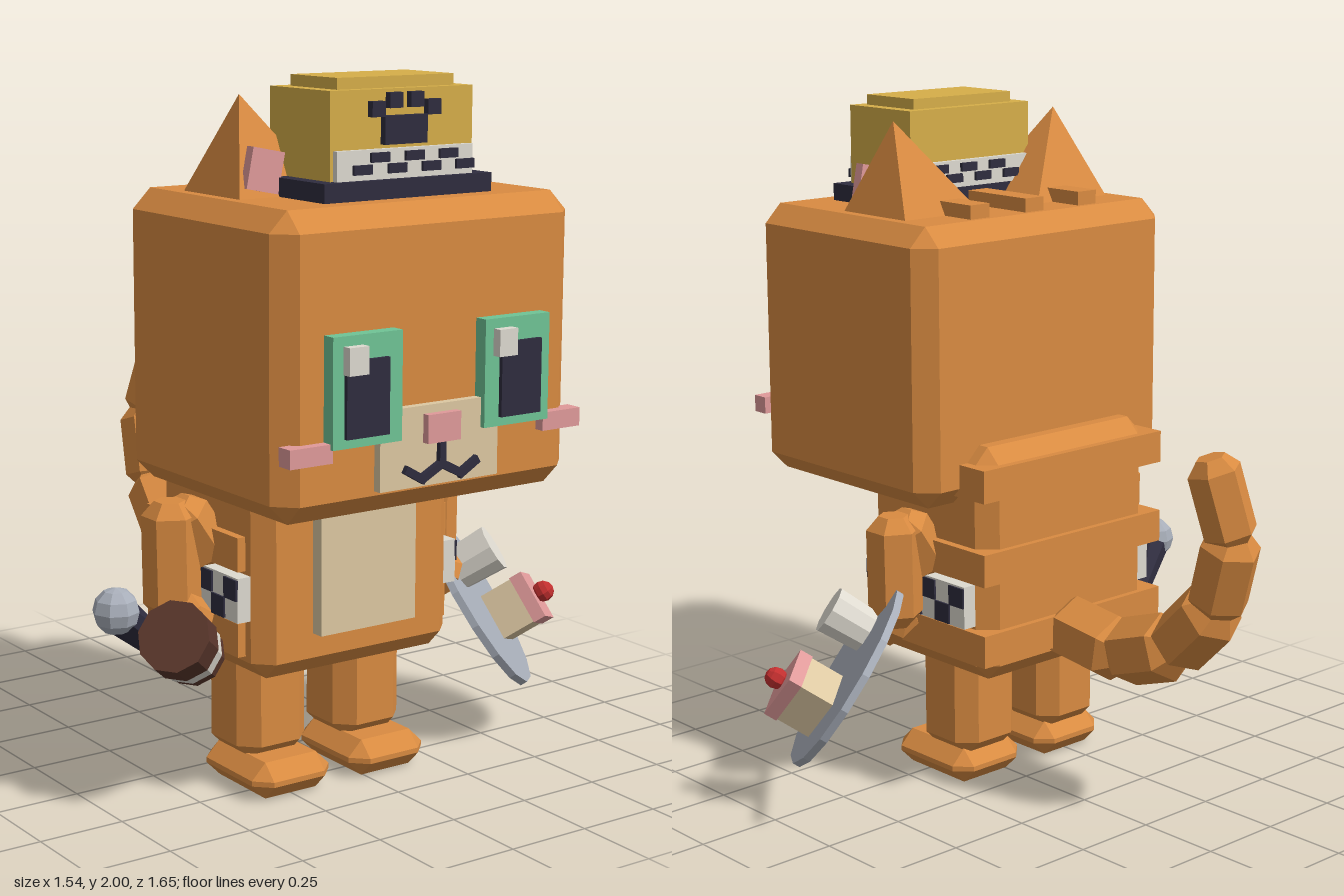
import * as THREE from 'three';
import { ConvexGeometry } from 'three/addons/geometries/ConvexGeometry.js';

const V = (x, y, z) => new THREE.Vector3(x, y, z);
const UP = V(0, 1, 0);
const MID = -0.085; // the body's own centre line

function makeMaterials() {
  const colours = {
    orangeFur: 0xd98b41, creamFur: 0xddc8a2, pink: 0xe09a9a, ink: 0x2f2d3f, green: 0x70c496,
    gold: 0xd6ae49, white: 0xdedad0, steel: 0xa8aeb9, chocolate: 0x5a372c, cherryRed: 0xc22f2f,
  };
  const mats = {};
  for (const [name, color] of Object.entries(colours)) {
    mats[name] = new THREE.MeshStandardMaterial({ color });
    mats[name].name = name;
  }
  return mats;
}

// Faceted copy of a geometry
function flat(geo) {
  const g = geo.index ? geo.toNonIndexed() : geo;
  g.computeVertexNormals();
  return g;
}

// Box with every edge cut at 45 degrees
function chamferBox(w, h, d, c) {
  const pts = [];
  for (const sx of [-1, 1]) for (const sy of [-1, 1]) for (const sz of [-1, 1]) {
    const x = w / 2, y = h / 2, z = d / 2;
    pts.push(V(sx * x, sy * (y - c), sz * (z - c)), V(sx * (x - c), sy * y, sz * (z - c)), V(sx * (x - c), sy * (y - c), sz * z));
  }
  return new ConvexGeometry(pts);
}

// Six-sided rod with tapered ends
function rodGeometry(r, len) {
  const h = len / 2, b = Math.min(r * 0.5, h * 0.6);
  const profile = [[0.0001, -h], [r * 0.55, -h], [r, -h + b], [r, h - b], [r * 0.55, h], [0.0001, h]];
  return flat(new THREE.LatheGeometry(profile.map(([x, y]) => new THREE.Vector2(x, y)), 6));
}

export function createModel() {
  const m = makeMaterials();
  const model = new THREE.Group();
  model.name = 'catWaiter';

  const add = (name, geo, mat, pos, parent = model) => {
    const mesh = new THREE.Mesh(geo, mat);
    mesh.name = name;
    mesh.position.copy(pos);
    parent.add(mesh);
    return mesh;
  };
  // Box given by its limits on each axis
  const box = (name, mat, x0, x1, y0, y1, z0, z1, c = 0) => {
    const w = x1 - x0, h = y1 - y0, d = z1 - z0;
    const geo = c ? chamferBox(w, h, d, c) : new THREE.BoxGeometry(w, h, d);
    return add(name, geo, mat, V((x0 + x1) / 2, (y0 + y1) / 2, (z0 + z1) / 2));
  };
  // Geometry standing on its y axis, laid from a to b
  const lay = (mesh, a, b) => {
    mesh.position.copy(a).add(b).multiplyScalar(0.5);
    mesh.quaternion.setFromUnitVectors(UP, b.clone().sub(a).normalize());
    return mesh;
  };
  const rod = (name, mat, a, b, r) => lay(add(name, rodGeometry(r, a.distanceTo(b)), mat, V(0, 0, 0)), a, b);
  const tube = (name, mat, a, b, r0, r1, sides) =>
    lay(add(name, flat(new THREE.CylinderGeometry(r1, r0, a.distanceTo(b), sides)), mat, V(0, 0, 0)), a, b);

  // Head and torso
  box('head', m.orangeFur, -0.565, 0.395, 0.89, 1.69, -0.015, 0.75, 0.055);
  box('torso', m.orangeFur, -0.415, 0.245, 0.37, 1.06, -0.1, 0.43, 0.05);
  box('belly', m.creamFur, -0.245, 0.075, 0.49, 0.93, 0.42, 0.47);
  for (const y of [0.435, 0.675, 0.92]) box('backStripe', m.orangeFur, -0.44, 0.27, y, y + 0.095, -0.118, 0.355);

  // Crown stripes on the head
  for (const [dx, z1] of [[-0.21, 0.2], [0, 0.3], [0.21, 0.2]])
    box('headStripe', m.orangeFur, MID + dx - 0.036, MID + dx + 0.036, 1.68, 1.73, 0.055, z1);

  // Parts mirrored about the centre line
  for (const s of [-1, 1]) {
    const side = s > 0 ? 'left' : 'right';
    const at = (d, y, z) => V(MID + s * d, y, z);
    const sideBox = (name, mat, d0, d1, y0, y1, z0, z1, c) =>
      box(side + name, mat, MID + Math.min(s * d0, s * d1), MID + Math.max(s * d0, s * d1), y0, y1, z0, z1, c);

    sideBox('Leg', m.orangeFur, 0.05, 0.28, 0.08, 0.45, 0.05, 0.28, 0.05);
    sideBox('Foot', m.orangeFur, 0.035, 0.295, 0, 0.105, 0.05, 0.375, 0.045);

    // Arm: shoulder, forearm and hand
    rod(side + 'Shoulder', m.orangeFur, at(0.31, 0.66, 0.165), at(0.43, 0.84, 0.165), 0.075);
    rod(side + 'Arm', m.orangeFur, at(0.45, 0.85, 0.165), at(0.445, 0.52, 0.165), 0.08);
    rod(side + 'Hand', m.orangeFur, at(0.44, 0.57, 0.14), at(0.43, 0.49, 0.27), 0.075);

    // Chequered hip panel
    sideBox('HipPanel', m.white, 0.32, 0.372, 0.54, 0.665, -0.05, 0.38);
    for (let i = 0; i < 7; i++) {
      const z = 0.38 - i * 0.0614, y = i % 2 ? 0.543 : 0.602;
      sideBox('HipCheck', m.ink, 0.37, 0.378, y, y + 0.058, z - 0.0614, z);
    }

    // Ear: pyramid leaning outwards
    const base = [[0.11, 0.16], [0.395, 0.16], [0.395, 0.435], [0.11, 0.435]].map(([d, z]) => at(d, 1.685, z));
    add(side + 'Ear', new ConvexGeometry([...base, at(0.312, 1.95, 0.307)]), m.orangeFur, V(0, 0, 0));
    const inner = add(side + 'InnerEar', new THREE.BoxGeometry(0.1, 0.11, 0.03), m.pink, at(0.31, 1.76, 0.415));
    inner.rotation.z = s * 0.2;

    // Eye and cheek
    sideBox('Eye', m.green, 0.135, 0.352, 1.09, 1.378, 0.74, 0.79);
    sideBox('Pupil', m.ink, 0.183, 0.317, 1.115, 1.315, 0.78, 0.802);
    const hx = s > 0 ? 0.077 : -0.405;
    box(side + 'EyeGlint', m.white, hx, hx + 0.06, 1.28, 1.352, 0.78, 0.817);
    sideBox('Cheek', m.pink, 0.345, 0.475, 1.055, 1.105, 0.73, 0.78);

    // Mouth curl
    for (const [d0, y0, d1, y1] of [[0, 1.012, 0.065, 0.978], [0.06, 0.976, 0.115, 1.008]]) {
      const bar = add(side + 'Mouth', new THREE.BoxGeometry(Math.hypot(d1 - d0, y1 - y0) + 0.01, 0.022, 0.02), m.ink,
        at((d0 + d1) / 2, (y0 + y1) / 2, 0.78));
      bar.rotation.z = s * Math.atan2(y1 - y0, d1 - d0);
    }
  }

  // Muzzle
  box('muzzle', m.creamFur, -0.278, 0.108, 0.957, 1.17, 0.74, 0.775);
  box('nose', m.pink, -0.14, -0.033, 1.072, 1.148, 0.76, 0.797);
  box('mouthLine', m.ink, MID - 0.01, MID + 0.01, 1.0, 1.075, 0.76, 0.79);

  // Hat
  box('hatBrim', m.ink, -0.355, 0.187, 1.685, 1.74, 0.32, 0.635);
  box('hatCrown', m.gold, -0.315, 0.145, 1.73, 1.97, 0.33, 0.602);
  box('hatTop', m.gold, -0.272, 0.105, 1.97, 2.0, 0.362, 0.572);
  for (const [z, out] of [[0.602, 1], [0.33, -1]]) {
    box('hatBand', m.white, -0.305, 0.135, 1.74, 1.818, Math.min(z, z + out * 0.016), Math.max(z, z + out * 0.016));
    const f = z + out * 0.016, g = f + out * 0.009;
    for (let i = 0; i < 7; i++) {
      const x = -0.255 + i * 0.0555, y = i % 2 ? 1.785 : 1.755;
      box('hatCheck', m.ink, x - 0.001, x + 0.058, y, y + 0.025, Math.min(f, g), Math.max(f, g));
    }
  }
  box('pawPad', m.ink, -0.155, -0.018, 1.828, 1.902, 0.6, 0.622);
  for (const [dx, y] of [[-0.09, 1.92], [-0.034, 1.941], [0.034, 1.941], [0.09, 1.92]])
    box('pawToe', m.ink, MID + dx - 0.021, MID + dx + 0.021, y - 0.02, y + 0.02, 0.6, 0.622);

  // Tail
  const tail = [[-0.085, 0.48, -0.08], [-0.09, 0.45, -0.31], [-0.092, 0.52, -0.52], [-0.07, 0.68, -0.69],
    [-0.055, 0.89, -0.755], [-0.005, 1.12, -0.715]].map((p) => V(...p));
  const tailRadius = [0.102, 0.1, 0.095, 0.087, 0.076];
  tailRadius.forEach((r, i) => {
    const step = tail[i + 1].clone().sub(tail[i]).normalize().multiplyScalar(0.02);
    rod('tailSegment', m.orangeFur, tail[i].clone().sub(step), i < 4 ? tail[i + 1].clone().add(step) : tail[i + 1], r);
  });

  // Serving tray, built flat and then tilted
  const tray = new THREE.Group();
  tray.name = 'servingTray';
  const n = V(0.646, 0.54, 0.54).normalize();
  const tx = V(n.z, 0, -n.x).normalize();
  const tz = tx.clone().cross(n);
  tray.quaternion.setFromRotationMatrix(new THREE.Matrix4().makeBasis(tx, n, tz));
  tray.position.set(0.53, 0.4, 0.185);
  model.add(tray);
  const onTray = (x, y, z, h) => {
    const p = V(x, y, z).sub(tray.position);
    return V(p.dot(tx), h, p.dot(tz));
  };
  add('plate', flat(new THREE.CylinderGeometry(0.291, 0.291, 0.022, 16)), m.steel, V(0, 0, 0), tray);
  add('cup', flat(new THREE.CylinderGeometry(0.072, 0.066, 0.13, 10)), m.white, onTray(0.485, 0.545, 0.233, 0.073), tray);
  const cakeSpot = (h) => onTray(0.595, 0.315, 0.175, h);
  const cake = add('cake', new THREE.BoxGeometry(0.135, 0.11, 0.145), m.creamFur, cakeSpot(0.062), tray);
  const icing = add('icing', new THREE.BoxGeometry(0.142, 0.04, 0.152), m.pink, cakeSpot(0.134), tray);
  cake.rotation.y = icing.rotation.y = -0.37;
  add('cherry', flat(new THREE.SphereGeometry(0.033, 8, 6)), m.cherryRed, cakeSpot(0.175), tray);

  // Microphone
  tube('microphoneHandle', m.ink, V(-0.52, 0.41, 0.08), V(-0.7, 0.555, 0.163), 0.04, 0.055, 8);
  add('microphoneHead', flat(new THREE.SphereGeometry(0.066, 8, 6)), m.steel, V(-0.712, 0.568, 0.17));

  // Banded drum held in the right hand
  const a = V(-0.51, 0.428, 0.24), b = V(-0.632, 0.525, 0.335);
  const along = (t) => a.clone().lerp(b, t);
  tube('drumBase', m.chocolate, along(-0.05), along(0.25), 0.088, 0.088, 10);
  tube('drumBand', m.white, along(0.2), along(0.55), 0.094, 0.094, 10);
  tube('drumCap', m.chocolate, along(0.52), along(1), 0.102, 0.102, 10);

  return model;
}
